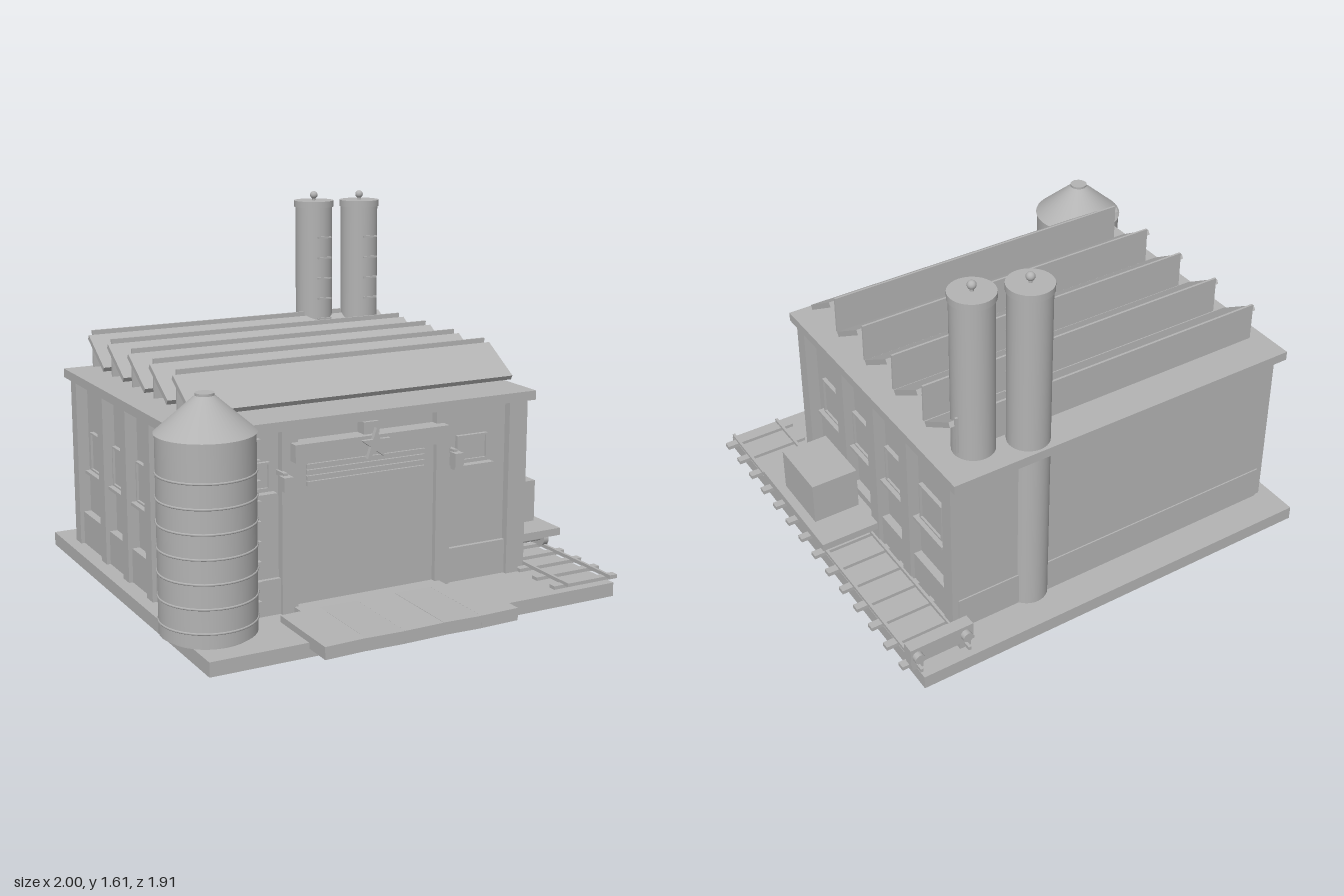
import * as THREE from 'three';

export function createModel() {
  const root = new THREE.Group();
  root.name = 'factory';
  const grey = new THREE.MeshStandardMaterial({ color: 0xb3b3b3 });
  grey.name = 'plain grey';
  const CX = -0.0725; // middle of the building

  const add = (name, geo, x = 0, y = 0, z = 0, parent = root) => {
    const m = new THREE.Mesh(geo, grey);
    m.name = name;
    m.position.set(x, y, z);
    parent.add(m);
    return m;
  };
  // box from its limits on each axis
  const box = (name, x0, x1, y0, y1, z0, z1, parent) =>
    add(name, new THREE.BoxGeometry(x1 - x0, y1 - y0, z1 - z0),
      (x0 + x1) / 2, (y0 + y1) / 2, (z0 + z1) / 2, parent);
  const cyl = (name, r0, r1, y0, y1, x, z, n = 32, parent) =>
    add(name, new THREE.CylinderGeometry(r1, r0, y1 - y0, n), x, (y0 + y1) / 2, z, parent);

  // framed window facing +z, with its sill
  const windowUnit = (w, h, sillW, drop) => {
    const g = new THREE.Group();
    g.name = 'window';
    const s = new THREE.Shape();
    s.moveTo(-w / 2, -h / 2).lineTo(w / 2, -h / 2).lineTo(w / 2, h / 2).lineTo(-w / 2, h / 2);
    const i = 0.008, hole = new THREE.Path();
    hole.moveTo(-w / 2 + i, -h / 2 + i).lineTo(-w / 2 + i, h / 2 - i)
      .lineTo(w / 2 - i, h / 2 - i).lineTo(w / 2 - i, -h / 2 + i);
    s.holes.push(hole);
    add('windowFrame', new THREE.ExtrudeGeometry(s, { depth: 0.018, bevelEnabled: false }), 0, 0, 0, g);
    add('windowPane', new THREE.BoxGeometry(w - 0.01, h - 0.01, 0.008), 0, 0, 0.004, g);
    add('windowSill', new THREE.BoxGeometry(sillW, 0.014, 0.035), 0, -h / 2 - drop, 0.0175, g);
    root.add(g);
    return g;
  };

  // ground slab and loading apron
  box('groundSlab', -0.92, 0.945, 0, 0.06, -0.955, 0.825);
  for (let i = 0; i < 5; i++) {
    const x = -0.505 + i * 0.174;
    box('apronPanel', x, x + 0.174, 0.038, 0.09, 0.58, 0.955).rotation.z = [0.02, -0.015, 0.012, -0.02, 0.015][i];
  }
  box('doorStep', -0.41, 0.27, 0.06, 0.085, 0.48, 0.58);

  // building body, plinth and flat roof
  box('walls', -0.815, 0.67, 0.06, 0.82, -0.8, 0.48);
  box('backPlinth', -0.84, 0.695, 0.06, 0.21, -0.806, -0.7);
  box('roofSlab', -0.88, 0.735, 0.815, 0.855, -0.855, 0.52);

  for (const s of [1, -1]) {
    const X = (d) => CX + s * d;
    const sideBox = (name, d0, d1, y0, y1, z0, z1) =>
      box(name, Math.min(X(d0), X(d1)), Math.max(X(d0), X(d1)), y0, y1, z0, z1);
    // side walls
    sideBox('sidePlinth', 0.7, 0.777, 0.06, 0.21, -0.8, 0.48);
    for (const z of [0.4475, 0.105, -0.1625, -0.4325, -0.7675])
      sideBox('sidePilaster', 0.73, 0.795, 0.06, 0.82, z - 0.0325, z + 0.0325);
    for (const z of [0.255, -0.022, -0.3, -0.58]) {
      const w = windowUnit(0.175, 0.175, 0.225, 0.012);
      w.position.set(X(0.7425), 0.507, z);
      w.rotation.y = s * Math.PI / 2;
    }
    // front wall
    sideBox('frontPlinth', 0.38, 0.7425, 0.06, 0.21, 0.47, 0.498);
    sideBox('cornerPilaster', 0.68, 0.7425, 0.06, 0.82, 0.47, 0.515);
    sideBox('doorPilaster', 0.32, 0.39, 0.06, 0.82, 0.47, 0.515);
    windowUnit(0.15, 0.112, 0.195, 0.02).position.set(X(0.508), 0.638, 0.48);
    sideBox('lamp', 0.372, 0.412, 0.587, 0.645, 0.535, 0.58);
    sideBox('lampArm', 0.382, 0.4, 0.635, 0.655, 0.48, 0.55);
  }

  // loading door, louvres, lintel and star
  box('door', -0.385, 0.25, 0.085, 0.7, 0.47, 0.492);
  for (let i = 0; i < 4; i++)
    box('doorLouvre', -0.345, 0.2, 0.575 + i * 0.024, 0.592 + i * 0.024, 0.49, 0.502);
  box('lintel', -0.425, 0.28, 0.692, 0.765, 0.48, 0.56);
  box('lintelBracket', -0.107, -0.037, 0.765, 0.815, 0.48, 0.535);
  const star = new THREE.Shape();
  for (let i = 0; i < 10; i++) {
    const r = i % 2 ? 0.027 : 0.068, a = Math.PI / 2 + i * Math.PI / 5;
    star[i ? 'lineTo' : 'moveTo'](r * Math.cos(a), r * Math.sin(a));
  }
  add('star', new THREE.ExtrudeGeometry(star, { depth: 0.02, bevelEnabled: false }), CX, 0.73, 0.558);

  // sawtooth roof: sloping sheets and upright glazing
  for (let i = 0; i < 5; i++) {
    const z = 0.25 - i * 0.241;
    const sheet = add('sawtoothSheet', new THREE.BoxGeometry(1.475, 0.022, 0.215), CX, 0.96, z + 0.098);
    sheet.rotation.x = 0.56;
    box('sawtoothGlazing', -0.79, 0.645, 0.88, 1.045, z - 0.005, z + 0.005);
  }

  // chimneys
  for (const [x, z] of [[0.342, -0.755], [0.55, -0.69]]) {
    cyl('chimney', 0.087, 0.087, 0.06, 1.54, x, z);
    cyl('chimneyCap', 0.093, 0.093, 1.536, 1.565, x, z);
    add('chimneyBall', new THREE.SphereGeometry(0.018, 16, 12), x, 1.59, z);
    cyl('ballStem', 0.008, 0.008, 1.56, 1.58, x, z, 8);
    for (let i = 0; i < 6; i++) {
      const y = 0.92 + i * 0.096;
      box('chimneyRung', x - 0.035, x + 0.035, y - 0.004, y + 0.004, z + 0.104, z + 0.112);
    }
  }

  // silo with hoops and ladder
  const sx = -0.803, sz = 0.555;
  cyl('siloFoot', 0.17, 0.17, 0.06, 0.078, sx, sz);
  cyl('silo', 0.193, 0.193, 0.075, 0.866, sx, sz, 40);
  cyl('siloCone', 0.198, 0.038, 0.864, 1.005, sx, sz, 40);
  cyl('siloVent', 0.038, 0.038, 1.0, 1.015, sx, sz, 20);
  for (let i = 0; i < 7; i++)
    add('siloHoop', new THREE.TorusGeometry(0.193, 0.005, 6, 40), sx, 0.13 + i * 0.097, sz).rotation.x = Math.PI / 2;
  for (let i = 0; i < 9; i++)
    box('siloRung', -0.612, -0.578, 0.146 + i * 0.082, 0.153 + i * 0.082, sz - 0.012, sz + 0.012);

  // railway track and buffer stop
  for (let i = 0; i < 14; i++) {
    const z = 0.765 - i * 0.125;
    box('sleeper', 0.67, 0.998, 0.058, 0.075, z - 0.017, z + 0.017);
  }
  for (const x of [0.725, 0.943]) {
    box('rail', x - 0.006, x + 0.006, 0.072, 0.088, -0.935, 0.81);
    box('bufferPost', x - 0.025, x + 0.025, 0.06, 0.12, -0.9, -0.85);
    add('buffer', new THREE.CylinderGeometry(0.022, 0.022, 0.03, 16), x, 0.13, -0.91).rotation.x = Math.PI / 2;
  }
  box('bufferBeam', 0.688, 0.972, 0.09, 0.168, -0.9, -0.848);

  // flat wagon with crate
  box('wagonDeck', 0.69, 0.983, 0.142, 0.175, -0.185, 0.39);
  box('wagonCrate', 0.735, 0.943, 0.175, 0.365, -0.037, 0.245);
  for (const z of [0.312, -0.02]) {
    for (const x of [0.725, 0.943])
      add('wagonWheel', new THREE.CylinderGeometry(0.034, 0.034, 0.025, 20), x, 0.114, z).rotation.z = Math.PI / 2;
    add('wagonAxle', new THREE.CylinderGeometry(0.01, 0.01, 0.22, 10), 0.834, 0.114, z).rotation.z = Math.PI / 2;
  }

  return root;
}
